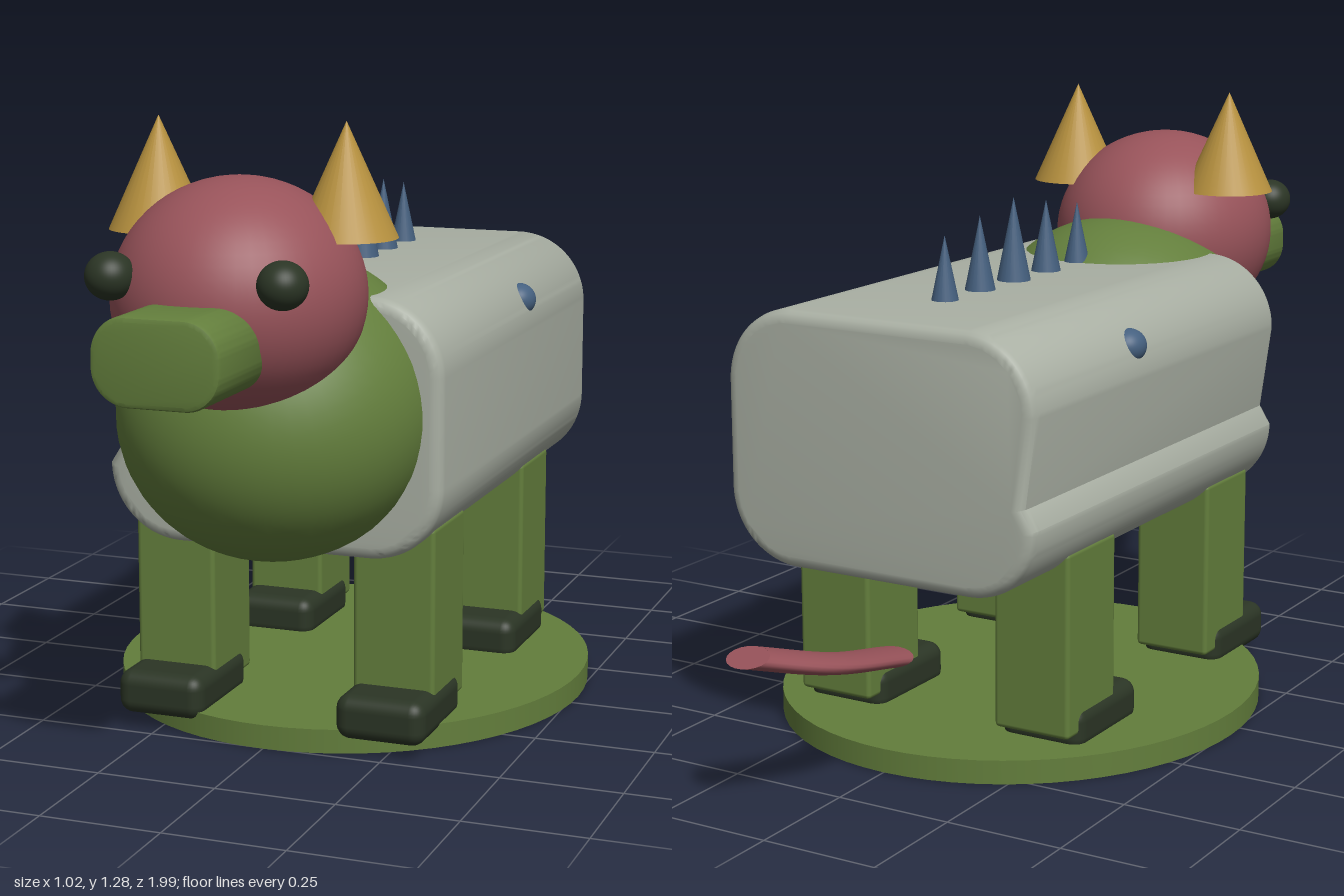
import * as THREE from 'three';
import { toCreasedNormals } from 'three/addons/utils/BufferGeometryUtils.js';
import { RoundedBoxGeometry } from 'three/addons/geometries/RoundedBoxGeometry.js';

const paint = (name, color) => Object.assign(new THREE.MeshStandardMaterial({ color }), { name });

export function createModel() {
  const green = paint('mossGreen', 0x637e3c);
  const red = paint('dustyRed', 0x98535a);
  const grey = paint('paleGrey', 0xa9afa3);
  const gold = paint('gold', 0xb8923f);
  const blue = paint('slateBlue', 0x45607f);
  const dark = paint('darkGreen', 0x2b3525);
  const tailRed = paint('tailRed', 0x98535a);
  tailRed.side = THREE.DoubleSide;

  const model = new THREE.Group();
  const add = (name, geometry, material, x = 0, y = 0, z = 0) => {
    const mesh = new THREE.Mesh(geometry, material);
    mesh.name = name;
    mesh.position.set(x, y, z);
    model.add(mesh);
    return mesh;
  };
  const ellipsoid = (rx, ry, rz) => new THREE.SphereGeometry(1, 48, 32).scale(rx, ry, rz);

  // Oval base
  add('base', new THREE.CylinderGeometry(1, 1, 0.05, 64).scale(0.51, 1, 0.55), green, 0, 0.025, -0.045);

  // Body: rounded section with a shallow groove along the right flank
  const w = 0.36, top = 0.93, low = 0.4, r = 0.155;
  const section = new THREE.Shape();
  section.moveTo(-w + r, low);
  section.lineTo(w - r, low);
  section.absarc(w - r, low + r, r, -Math.PI / 2, 0);
  section.lineTo(w, top - r);
  section.absarc(w - r, top - r, r, 0, Math.PI / 2);
  section.lineTo(-w + r, top);
  section.absarc(-w + r, top - r, r, Math.PI / 2, Math.PI);
  section.lineTo(-0.335, 0.595);
  section.lineTo(-w, low + r);
  section.absarc(-w + r, low + r, r, Math.PI, Math.PI * 1.5);
  const bevel = 0.025;
  const bodyGeometry = new THREE.ExtrudeGeometry(section, {
    depth: 1.065 - 2 * bevel, curveSegments: 12,
    bevelThickness: bevel, bevelSize: bevel, bevelOffset: -bevel, bevelSegments: 4,
  });
  add('body', toCreasedNormals(bodyGeometry, 0.6), grey, 0, 0, -0.61 + bevel);

  // Chest and head
  add('chest', ellipsoid(0.325, 0.303, 0.339), green, 0, 0.695, 0.408).rotation.x = 0.4;
  add('head', ellipsoid(0.246, 0.23, 0.26), red, 0, 0.946, 0.605);

  // Snout: rounded slab pushed out of the face
  const sw = 0.128, sh = 0.084, sr = 0.072;
  const snout = new THREE.Shape();
  snout.absarc(sw - sr, sh - sr, sr, 0, Math.PI / 2);
  snout.absarc(-sw + sr, sh - sr, sr, Math.PI / 2, Math.PI);
  snout.absarc(-sw + sr, -sh + sr, sr, Math.PI, Math.PI * 1.5);
  snout.absarc(sw - sr, -sh + sr, sr, Math.PI * 1.5, Math.PI * 2);
  const snoutGeometry = new THREE.ExtrudeGeometry(snout, {
    depth: 0.26, curveSegments: 12,
    bevelThickness: 0.01, bevelSize: 0.01, bevelOffset: -0.01, bevelSegments: 2,
  });
  add('snout', toCreasedNormals(snoutGeometry, 0.6), green, 0, 0.878, 0.73);

  // Mirrored pairs
  for (const [side, s] of [['left', 1], ['right', -1]]) {
    add(side + 'Eye', ellipsoid(0.048, 0.046, 0.05), dark, s * 0.173, 1.003, 0.812);
    add(side + 'Horn', new THREE.ConeGeometry(0.1, 0.222, 32), gold, s * 0.195, 1.169, 0.54);
    add(side + 'Spot', ellipsoid(0.038, 0.036, 0.042), blue, s * 0.325, 0.838, -0.175);
    for (const [end, legZ, footZ] of [['Front', 0.295, 0.362], ['Back', -0.32, -0.258]]) {
      add(side + end + 'Leg', new RoundedBoxGeometry(0.174, 0.39, 0.196, 2, 0.01), green, s * 0.24, 0.265, legZ);
      add(side + end + 'Foot', new RoundedBoxGeometry(0.19, 0.093, 0.255, 4, 0.03), dark, s * 0.24, 0.077, footZ);
    }
  }

  // Row of back spikes, tallest in the middle
  for (let i = 0; i < 5; i++) {
    const k = 2 - Math.abs(i - 2);
    const tip = 1.062 + 0.022 * k, foot = 0.915;
    add('backSpike' + (i + 1), new THREE.ConeGeometry(0.031 + 0.004 * k, tip - foot, 20), blue,
      0, (tip + foot) / 2, 0.19 - 0.135 * i);
  }

  // Flattened tail, curling to the left at its tip
  const flat = 0.3;
  const path = new THREE.CatmullRomCurve3([
    new THREE.Vector3(0, 0.236 / flat, -0.565),
    new THREE.Vector3(0, 0.285 / flat, -0.78),
    new THREE.Vector3(0.06, 0.338 / flat, -0.955),
  ]);
  add('tail', new THREE.TubeGeometry(path, 24, 0.052, 20).scale(1, flat, 1), tailRed);
  for (const [name, t, dir] of [['tailRoot', 0, -1], ['tailTip', 1, 1]]) {
    const cap = new THREE.CircleGeometry(0.052, 20);
    const facing = path.getTangentAt(t).multiplyScalar(dir);
    cap.applyQuaternion(new THREE.Quaternion().setFromUnitVectors(new THREE.Vector3(0, 0, 1), facing));
    const p = path.getPointAt(t);
    add(name, cap.translate(p.x, p.y, p.z).scale(1, flat, 1), tailRed);
  }

  return model;
}
